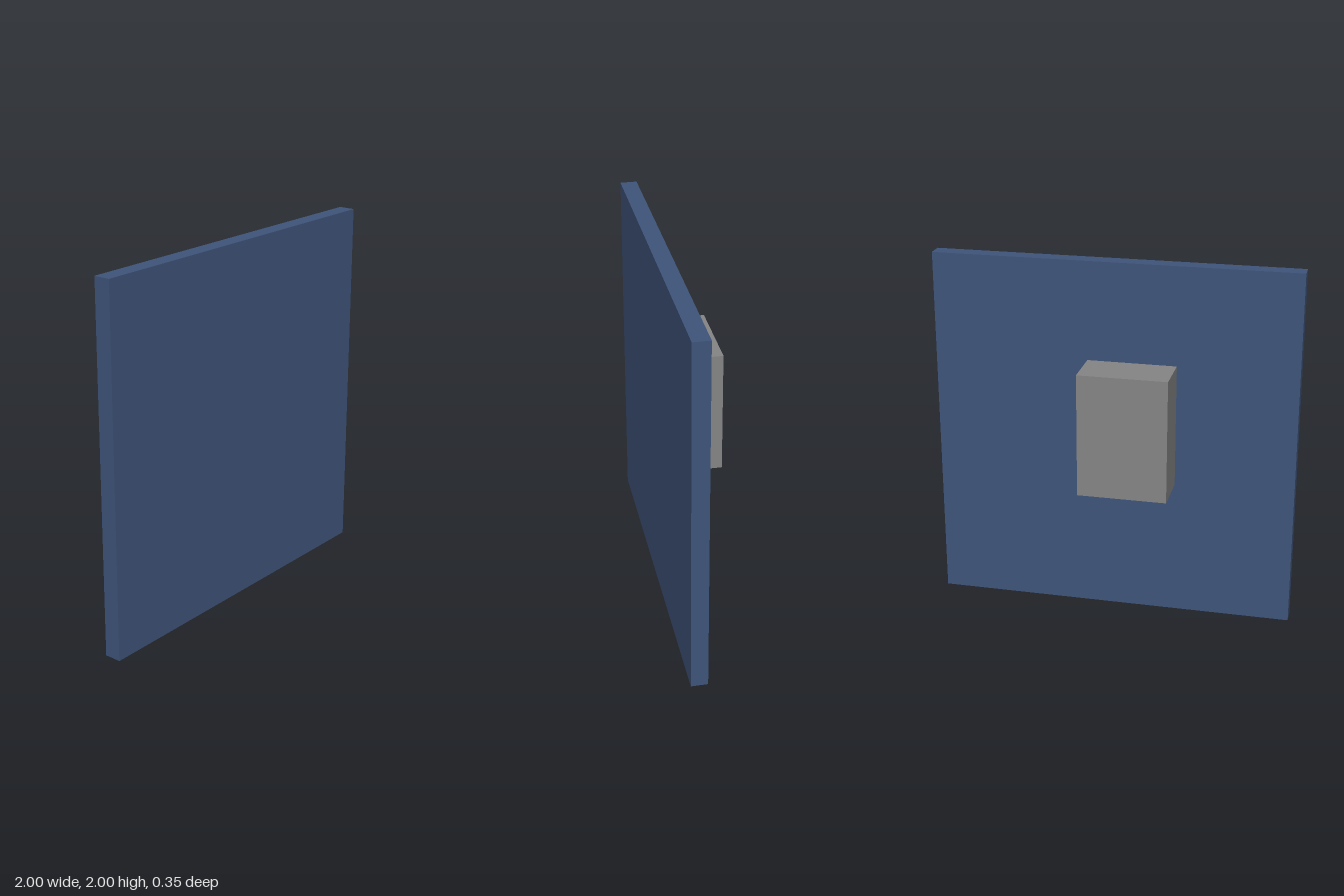
import * as THREE from 'three';

export function createModel() {
  const group = new THREE.Group();

  const blue = new THREE.MeshStandardMaterial({ color: 0x3f557b });
  blue.name = 'slate blue';
  const grey = new THREE.MeshStandardMaterial({ color: 0x858585 });
  grey.name = 'mid grey';

  // Box given by its lower and upper corners
  function addBox(name, min, max, material) {
    const size = max.map((v, i) => v - min[i]);
    const mesh = new THREE.Mesh(new THREE.BoxGeometry(...size), material);
    mesh.position.set(...max.map((v, i) => (v + min[i]) / 2));
    mesh.name = name;
    group.add(mesh);
  }

  // Square front panel
  addBox('panel', [-1, 0, 0.081], [1, 2, 0.173], blue);
  // Off-centre housing on the back
  addBox('rearHousing', [-0.343, 0.767, -0.173], [0.146, 1.453, 0.081], grey);

  return group;
}
